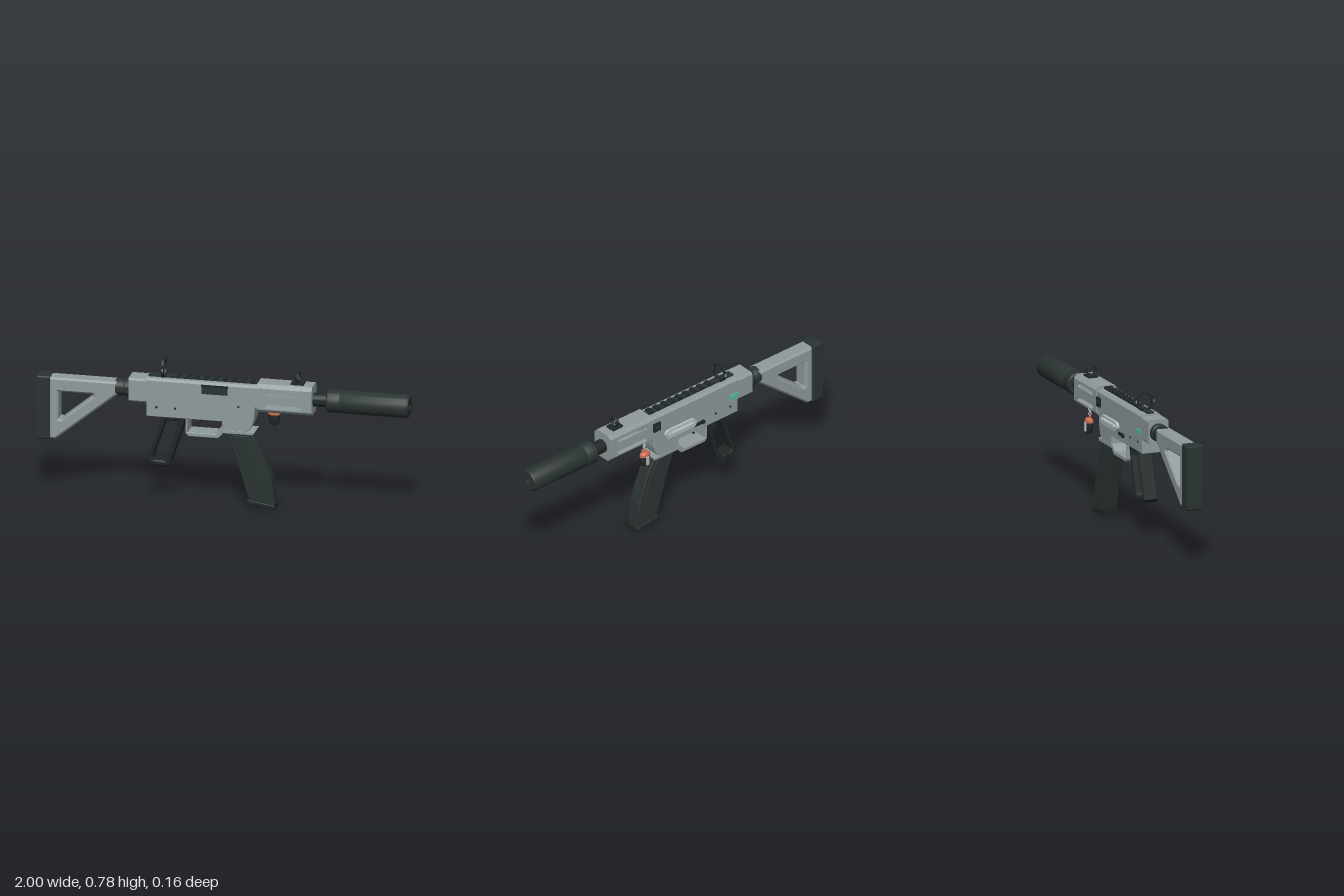
import * as THREE from 'three';
import { toCreasedNormals } from 'three/addons/utils/BufferGeometryUtils.js';

const ZC = 0.02; // centre plane of the body

export function createModel() {
  const root = new THREE.Group();
  const mat = (name, color) => {
    const m = new THREE.MeshStandardMaterial({ color });
    m.name = name;
    return m;
  };
  const grey = mat('grey metal', 0x909b9e);
  const light = mat('light grey', 0xb2bbbc);
  const dark = mat('dark green grey', 0x2a3432);
  const black = mat('near black', 0x202827);
  const orange = mat('orange', 0xc96a4c);
  const teal = mat('teal', 0x55bfa4);

  const add = (name, geo, material, x = 0, y = 0, z = 0) => {
    const m = new THREE.Mesh(geo, material);
    m.name = name;
    m.position.set(x, y, z);
    root.add(m);
    return m;
  };
  // Outline points, always counter-clockwise so that hole walls face the right way
  const V = (pts) => {
    const v = pts.map(([x, y]) => new THREE.Vector2(x, y));
    return THREE.ShapeUtils.isClockWise(v) ? v.reverse() : v;
  };

  // Side outline extruded across z, with chamfered edges kept inside the outline
  const prism = (pts, half, bevel = 0, holes = []) => {
    const s = new THREE.Shape(V(pts));
    holes.forEach((h) => s.holes.push(h instanceof THREE.Path ? h : new THREE.Path(V(h))));
    const g = new THREE.ExtrudeGeometry(s, {
      depth: 2 * (half - bevel), bevelEnabled: bevel > 0, bevelSize: bevel,
      bevelThickness: bevel, bevelOffset: -bevel, bevelSegments: 1, curveSegments: 8,
    });
    return g.translate(0, 0, -(half - bevel));
  };
  // Cross-section in (z, y) extruded along x from x0 to x1
  const beam = (pts, x0, x1, holes = []) => {
    const s = new THREE.Shape(V(pts));
    holes.forEach((h) => s.holes.push(h));
    return new THREE.ExtrudeGeometry(s, { depth: x1 - x0, bevelEnabled: false })
      .rotateY(Math.PI / 2).translate(x0, 0, 0);
  };
  const octagon = (h, y0, y1, c) => [
    [-h + c, y0], [h - c, y0], [h, y0 + c], [h, y1 - c],
    [h - c, y1], [-h + c, y1], [-h, y1 - c], [-h, y0 + c],
  ];
  const lathe = (pts, seg = 32) => toCreasedNormals(
    new THREE.LatheGeometry(pts.map(([r, y]) => new THREE.Vector2(r, y)), seg), 0.6);
  const alongX = (g) => g.rotateZ(-Math.PI / 2);
  const box = (x, y, z) => new THREE.BoxGeometry(x, y, z);
  const pin = (r, l) => new THREE.CylinderGeometry(r, r, l, 16).rotateX(Math.PI / 2);
  const stadium = (x0, x1, y, r) => {
    const p = new THREE.Path();
    p.absarc(x1 - r, y, r, -Math.PI / 2, Math.PI / 2);
    p.absarc(x0 + r, y, r, Math.PI / 2, Math.PI * 1.5);
    return p;
  };

  // Suppressor and barrel
  add('suppressor', alongX(lathe([
    [0, 0.56], [0.056, 0.56], [0.0625, 0.568], [0.0625, 0.625], [0.06, 0.629], [0.06, 0.635],
    [0.0625, 0.639], [0.0625, 0.985], [0.055, 1], [0.017, 1], [0.017, 0.975], [0, 0.975],
  ], 36)), dark, 0, 0.62, ZC);
  add('barrel', alongX(lathe([[0, 0.48], [0.037, 0.48], [0.037, 0.57], [0, 0.57]])), black, 0, 0.62, ZC);

  // Handguard: hollow, with slotted side walls, chamfered top and bottom, and end walls
  [-1, 1].forEach((s) => add('handguardSide',
    prism([[0.19, 0.562], [0.485, 0.562], [0.485, 0.68], [0.19, 0.68]], 0.005, 0,
      [stadium(0.23, 0.43, 0.655, 0.011), stadium(0.23, 0.43, 0.58, 0.011)]), grey, 0, 0, ZC + s * 0.057));
  add('handguardTop', beam([[-0.062, 0.68], [0.062, 0.68], [0.044, 0.7], [-0.044, 0.7]], 0.19, 0.485), grey, 0, 0, ZC);
  add('handguardBottom', beam([[-0.044, 0.544], [0.044, 0.544], [0.062, 0.562], [-0.062, 0.562]], 0.19, 0.485), grey, 0, 0, ZC);
  [0.195, 0.48].forEach((x) => add('handguardEnd', box(0.01, 0.118, 0.104), grey, x, 0.621, ZC));

  // Receiver
  add('upperReceiver', beam([
    [-0.055, 0.569], [0.055, 0.569], [0.055, 0.675], [0.043, 0.687], [-0.043, 0.687], [-0.055, 0.675],
  ], -0.41, 0.19), grey, 0, 0, ZC);
  add('rearBlock', beam(octagon(0.057, 0.55, 0.68, 0.01), -0.5, -0.405), grey, 0, 0, ZC);
  add('lowerReceiver', prism([
    [-0.405, 0.476], [0.012, 0.476], [0.005, 0.425], [0.135, 0.425], [0.16, 0.455], [0.173, 0.495], [0.18, 0.572], [-0.405, 0.572],
  ], 0.052, 0.003), grey, 0, 0, ZC);
  add('magazineWellFlange', prism([[0.0, 0.411], [0.168, 0.411], [0.178, 0.43], [0.0, 0.43]], 0.053, 0.003), grey, 0, 0, ZC);
  add('triggerGuard', prism([
    [-0.195, 0.49], [-0.195, 0.395], [-0.18, 0.38], [-0.02, 0.38], [0.02, 0.42], [0.02, 0.49],
  ], 0.05, 0.003, [[[-0.183, 0.48], [-0.183, 0.402], [-0.035, 0.402], [0.0, 0.435], [0.0, 0.48]]]), grey, 0, 0, ZC);
  add('trigger', prism([
    [-0.14, 0.49], [-0.129, 0.465], [-0.132, 0.447], [-0.147, 0.432], [-0.141, 0.424], [-0.121, 0.441], [-0.116, 0.465], [-0.12, 0.49],
  ], 0.008), black, 0, 0, ZC);

  // Ejection port and its cover on the front side
  add('ejectionPort', box(0.138, 0.048, 0.008), dark, -0.037, 0.648, ZC + 0.053);
  add('ejectionPortEdge', box(0.142, 0.012, 0.009), black, -0.037, 0.669, ZC + 0.053);

  // Cross pins on both sides
  [[-0.35, 0.53], [-0.25, 0.53], [0.09, 0.565]].forEach(([x, y]) =>
    add('crossPin', pin(0.006, 0.112), black, x, y, ZC));

  // Top rail with teeth
  add('railBase', box(0.585, 0.012, 0.038), dark, -0.108, 0.69, ZC);
  for (let i = 0; i < 9; i++) add('railTooth', box(0.024, 0.012, 0.042), black, -0.24 + i * 0.05, 0.697, ZC);

  // Rear sight: open octagonal frame
  const rearHole = new THREE.Path(V(octagon(0.036, 0.695, 0.772, 0.02)));
  add('rearSight', beam(octagon(0.046, 0.685, 0.781, 0.023), -0.326, -0.314, [rearHole]), black, 0, 0, ZC);
  add('rearSightFoot', box(0.024, 0.012, 0.05), black, -0.32, 0.691, ZC);
  [-1, 1].forEach((s) => add('rearSightPin', box(0.008, 0.014, 0.012), grey, -0.32, 0.735, ZC + s * 0.046));

  // Front sight: ring with post
  add('frontSightBase', box(0.068, 0.014, 0.055), black, 0.4, 0.703, ZC);
  add('frontSightRing', new THREE.TorusGeometry(0.0255, 0.0045, 8, 28).rotateY(Math.PI / 2).scale(1.8, 1, 1), black, 0.4, 0.735, ZC);
  add('frontSightPost', new THREE.ConeGeometry(0.004, 0.028, 8), grey, 0.4, 0.722, ZC);

  // Pistol grip frame
  add('pistolGrip', prism([
    [-0.32, 0.48], [-0.2, 0.48], [-0.213, 0.42], [-0.28, 0.215], [-0.295, 0.2], [-0.39, 0.205], [-0.407, 0.225], [-0.335, 0.435],
  ], 0.04, 0.006, [[[-0.304, 0.455], [-0.237, 0.455], [-0.238, 0.425], [-0.296, 0.24], [-0.309, 0.227], [-0.367, 0.23], [-0.375, 0.245]]]),
  black, 0, 0, ZC);

  // Curved magazine with raised side panels and a floor plate
  add('magazine', prism([
    [0.02, 0.42], [0.155, 0.42], [0.195, 0.35], [0.235, 0.255], [0.265, 0.165], [0.282, 0.025], [0.143, 0.04], [0.105, 0.17], [0.065, 0.295],
  ], 0.0385, 0.005), dark, 0, 0, ZC);
  add('magazinePanel', prism([
    [0.055, 0.4], [0.135, 0.4], [0.17, 0.345], [0.21, 0.25], [0.238, 0.165], [0.25, 0.09], [0.16, 0.1], [0.13, 0.185], [0.09, 0.3],
  ], 0.041, 0.002), dark, 0, 0, ZC);
  add('magazineFloor', prism([[0.134, 0.046], [0.283, 0.024], [0.281, 0], [0.137, 0.024]], 0.041, 0.003), black, 0, 0, ZC);

  // Stock
  add('stockTube', alongX(lathe([
    [0, -0.575], [0.046, -0.575], [0.046, -0.545], [0.043, -0.54], [0.043, -0.53], [0.048, -0.525], [0.048, -0.495], [0, -0.495],
  ])), dark, 0, 0.61, ZC);
  add('stock', prism([
    [-0.93, 0.647], [-0.565, 0.647], [-0.565, 0.577], [-0.895, 0.307], [-0.93, 0.307],
  ], 0.043, 0.01, [[[-0.88, 0.57], [-0.695, 0.57], [-0.69, 0.56], [-0.863, 0.418], [-0.88, 0.418]]]), grey, 0, 0, ZC);
  add('buttPad', prism([
    [-1, 0.31], [-0.99, 0.303], [-0.925, 0.303], [-0.925, 0.652], [-0.99, 0.652], [-1, 0.645],
  ], 0.048, 0.006), dark, 0, 0, ZC);

  // Controls on the back side
  const BZ = ZC - 0.055;
  const latch = new THREE.Shape(stadium(-0.105, 0.105, 0, 0.025).getPoints(8));
  latch.holes.push(stadium(-0.075, 0.075, 0, 0.014));
  add('sideLatch', new THREE.ExtrudeGeometry(latch, { depth: 0.018, bevelEnabled: false }), light, 0, 0.55, BZ - 0.016);
  add('sideLatchBar', box(0.15, 0.016, 0.03), light, 0, 0.55, BZ - 0.014);
  [-0.08, 0.08].forEach((x) => add('sideLatchPivot', pin(0.012, 0.028), light, x, 0.55, BZ - 0.014));
  add('sideButton', box(0.045, 0.05, 0.014), black, 0.16, 0.625, BZ - 0.003);
  add('sideButtonCap', pin(0.014, 0.012), dark, 0.16, 0.625, BZ - 0.008);
  add('selector', box(0.06, 0.016, 0.012), black, -0.135, 0.518, BZ + 0.001);
  add('selectorPivot', pin(0.012, 0.016), black, -0.16, 0.518, BZ);
  add('tealPlate', box(0.06, 0.028, 0.008), teal, -0.37, 0.588, BZ - 0.001);

  // Hanging charm: capsule body, orange cap, ring and lever
  const CZ = -0.053;
  add('charmBody', lathe([
    [0, 0.434], [0.018, 0.436], [0.029, 0.455], [0.032, 0.48], [0.03, 0.5], [0, 0.502],
  ], 16).scale(1, 1, 0.65), black, 0.255, 0, CZ);
  add('charmCap', lathe([[0, 0.494], [0.0325, 0.494], [0.031, 0.508], [0.018, 0.519], [0, 0.521]], 16).scale(1, 1, 0.65), orange, 0.255, 0, CZ);
  add('charmLever', box(0.018, 0.05, 0.007), light, 0.255, 0.473, CZ - 0.023);
  add('charmRing', new THREE.TorusGeometry(0.009, 0.003, 6, 16), orange, 0.255, 0.528, CZ + 0.006);
  for (let i = 0; i < 3; i++) {
    add('charmLink', new THREE.TorusGeometry(0.008, 0.0028, 6, 14).rotateY(i % 2 ? 0 : Math.PI / 2), light, 0.255, 0.54 + i * 0.012, CZ + 0.005);
  }
  return root;
}
